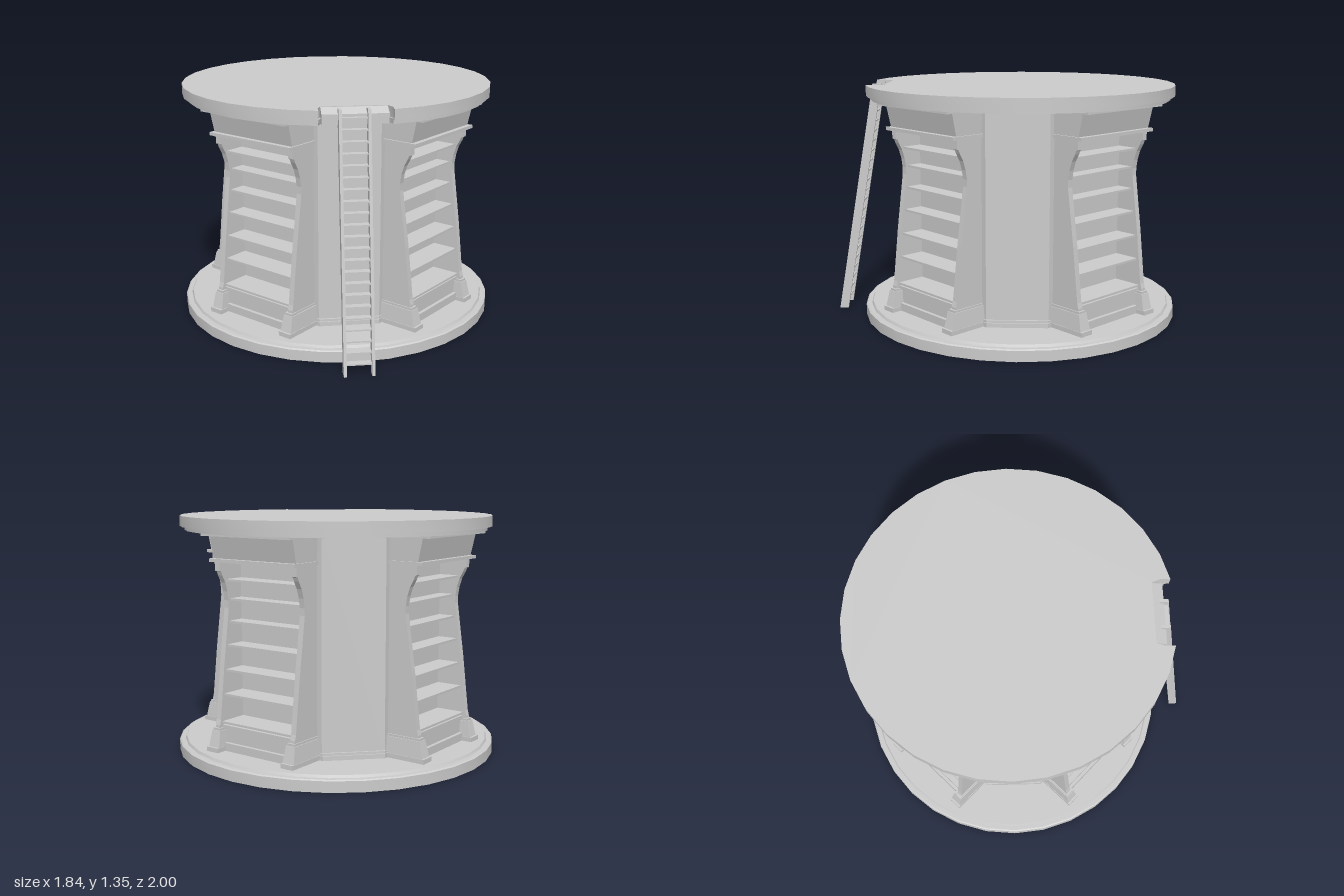
import * as THREE from 'three';
import { toCreasedNormals } from 'three/addons/utils/BufferGeometryUtils.js';

const CZ = -0.081; // centre of the drum along z
const mat = new THREE.MeshStandardMaterial({ color: 0xcccccc, side: THREE.DoubleSide });

function add(parent, name, geometry) {
  const mesh = new THREE.Mesh(geometry, mat);
  mesh.name = name;
  parent.add(mesh);
  return mesh;
}

// Block between two heights; the half width and front can change toward the top
function block(x, hw, y0, y1, z0, z1, topHw = hw, topZ1 = z1) {
  const g = new THREE.BoxGeometry(2, 2, 2);
  const p = g.attributes.position;
  for (let i = 0; i < p.count; i++) {
    const top = p.getY(i) > 0;
    p.setXYZ(i, x + p.getX(i) * (top ? topHw : hw), top ? y1 : y0,
      p.getZ(i) > 0 ? (top ? topZ1 : z1) : z0);
  }
  g.computeVertexNormals();
  return g;
}

// Eight-sided outline: four walls on the axes, four bay backs on the diagonals
function octagon(wall, bay, Type = THREE.Shape) {
  const c = bay * Math.SQRT2 - wall;
  return new Type([[wall, -c], [wall, c], [c, wall], [-c, wall], [-wall, c], [-wall, -c], [-c, -wall], [c, -wall]]
    .map((q) => new THREE.Vector2(...q)));
}

function octagonRing(wall, bay, thickness, y0, y1) {
  const s = octagon(wall, bay);
  s.holes.push(octagon(wall - thickness, bay - thickness, THREE.Path));
  return slab(s, y0, y1);
}

// Plan shape (x, front) raised from y0 to y1
function slab(shape, y0, y1) {
  const g = new THREE.ExtrudeGeometry(shape, { depth: y1 - y0, bevelEnabled: false });
  g.rotateX(Math.PI / 2); // shape y becomes +z
  return g.translate(0, y1, 0);
}

// 32-sided disc with a notch at the front
function notchedDisc(r, depthZ, innerHw, outerHw) {
  const pts = [];
  const edgeZ = Math.sqrt(r * r - outerHw * outerHw) * 0.998;
  pts.push(new THREE.Vector2(-innerHw, depthZ), new THREE.Vector2(innerHw, depthZ));
  pts.push(new THREE.Vector2(outerHw, depthZ + 0.05), new THREE.Vector2(outerHw, edgeZ));
  for (let i = 2; i <= 30; i++) {
    const a = i * Math.PI / 16;
    pts.push(new THREE.Vector2(r * Math.sin(a), r * Math.cos(a)));
  }
  pts.push(new THREE.Vector2(-outerHw, edgeZ), new THREE.Vector2(-outerHw, depthZ + 0.05));
  return new THREE.Shape(pts);
}

// Side profile of a bookcase: [distance from the axis, height]
const PROFILE = [[0.74, 0.08], [0.736, 0.22], [0.728, 0.25], [0.693, 0.55], [0.65, 0.86], [0.65, 0.9],
  [0.658, 0.95], [0.674, 1.0], [0.696, 1.04], [0.704, 1.06], [0.716, 1.065], [0.716, 1.13]];

function frontAt(y) {
  const i = PROFILE.findIndex((q) => q[1] >= y);
  const [a, b] = [PROFILE[i - 1], PROFILE[i]];
  return a[0] + (b[0] - a[0]) * (y - a[1]) / (b[1] - a[1]);
}

function bookcase() {
  const g = new THREE.Group();
  g.name = 'bookcase';
  const side = new THREE.Shape([[0.5, 0.08], ...PROFILE, [0.5, 1.13]].map((q) => new THREE.Vector2(...q)));
  for (const s of [-1, 1]) {
    // curved side panel
    const panel = new THREE.ExtrudeGeometry(side, { depth: 0.032, bevelEnabled: false });
    panel.rotateY(-Math.PI / 2).translate(0.016 + s * 0.262, 0, 0);
    add(g, 'sidePanel', panel);
    // flared foot
    add(g, 'footBase', block(s * 0.26, 0.04, 0.08, 0.105, 0.5, 0.785));
    add(g, 'footTaper', block(s * 0.26, 0.037, 0.105, 0.195, 0.5, 0.772, 0.029, 0.752));
    add(g, 'footCap', block(s * 0.26, 0.024, 0.195, 0.207, 0.5, 0.748));
  }
  // plinth under the lowest shelf
  add(g, 'plinth', block(0, 0.25, 0.08, 0.22, 0.5, 0.705));
  add(g, 'plinthBoard', block(0, 0.25, 0.01, 0.125, 0.67, 0.725));
  add(g, 'plinthTrim', block(0, 0.25, 0.205, 0.222, 0.5, 0.715));
  // shelves
  for (const y of [0.235, 0.387, 0.52, 0.655, 0.783, 0.905, 1.012]) {
    add(g, 'shelf', block(0, 0.25, y - 0.006, y + 0.006, 0.5, frontAt(y) - 0.016));
  }
  // head with mouldings
  add(g, 'headTrim', block(0, 0.29, 1.115, 1.133, 0.5, 0.75));
  add(g, 'head', block(0, 0.28, 1.133, 1.255, 0.5, 0.722, 0.283, 0.75));
  add(g, 'cornice', block(0, 0.3, 1.255, 1.27, 0.5, 0.8));
  return g;
}

function ladder() {
  const g = new THREE.Group();
  g.name = 'ladder';
  const zAt = (y) => 1 - 0.173 * y; // front edge of the rails
  const top = 1.348;
  for (const x of [-0.081, 0.067]) {
    const rail = new THREE.Shape([[zAt(0) - 0.05, 0], [zAt(0), 0], [zAt(top), top], [zAt(top) - 0.05, top]]
      .map((q) => new THREE.Vector2(...q)));
    const geo = new THREE.ExtrudeGeometry(rail, { depth: 0.016, bevelEnabled: false });
    geo.rotateY(-Math.PI / 2).translate(x + 0.008, 0, 0);
    add(g, 'ladderRail', geo);
  }
  for (let i = 0; i < 22; i++) {
    const y = 0.06 + i * 0.0592;
    add(g, 'ladderRung', block(-0.007, 0.07, y - 0.004, y + 0.004, zAt(y) - 0.044, zAt(y) - 0.006));
  }
  return g;
}

export function createModel() {
  const model = new THREE.Group();
  model.name = 'roundBookTower';
  const drum = new THREE.Group();
  drum.name = 'drum';
  drum.position.z = CZ;
  model.add(drum);

  // stepped base, open underneath
  const base = [[0.918, 0], [0.918, 0.06], [0.91, 0.066], [0.885, 0.066], [0.878, 0.08], [0, 0.08]];
  const baseGeo = new THREE.LatheGeometry(base.map((q) => new THREE.Vector2(...q)), 32);
  add(drum, 'base', toCreasedNormals(baseGeo, 0.5));

  // eight-sided core with skirting and top moulding
  add(drum, 'coreWall', octagonRing(0.605, 0.548, 0.02, 0.08, 1.28));
  add(drum, 'skirting', octagonRing(0.625, 0.56, 0.03, 0.05, 0.105));
  add(drum, 'skirtingCap', octagonRing(0.617, 0.555, 0.03, 0.105, 0.118));
  add(drum, 'topMoulding', octagonRing(0.635, 0.56, 0.04, 1.252, 1.27));

  // round platform notched for the ladder, with a sloped sill in the notch
  const underside = slab(notchedDisc(0.862, 0.785, 0.17, 0.19), 1.268, 1.295);
  add(drum, 'platformUnderside', toCreasedNormals(underside, 0.5));
  const platform = slab(notchedDisc(0.888, 0.762, 0.172, 0.19), 1.29, 1.35);
  add(drum, 'platform', toCreasedNormals(platform, 0.5));
  add(drum, 'notchFloor', block(0, 0.172, 1.268, 1.322, 0.75, 0.825));
  add(drum, 'notchSill', block(0, 0.172, 1.322, 1.347, 0.75, 0.825, 0.172, 0.766));

  // four bookcases on the diagonals
  for (let i = 0; i < 4; i++) {
    const b = bookcase();
    b.rotation.y = Math.PI / 4 + i * Math.PI / 2;
    drum.add(b);
  }

  model.add(ladder());
  return model;
}
